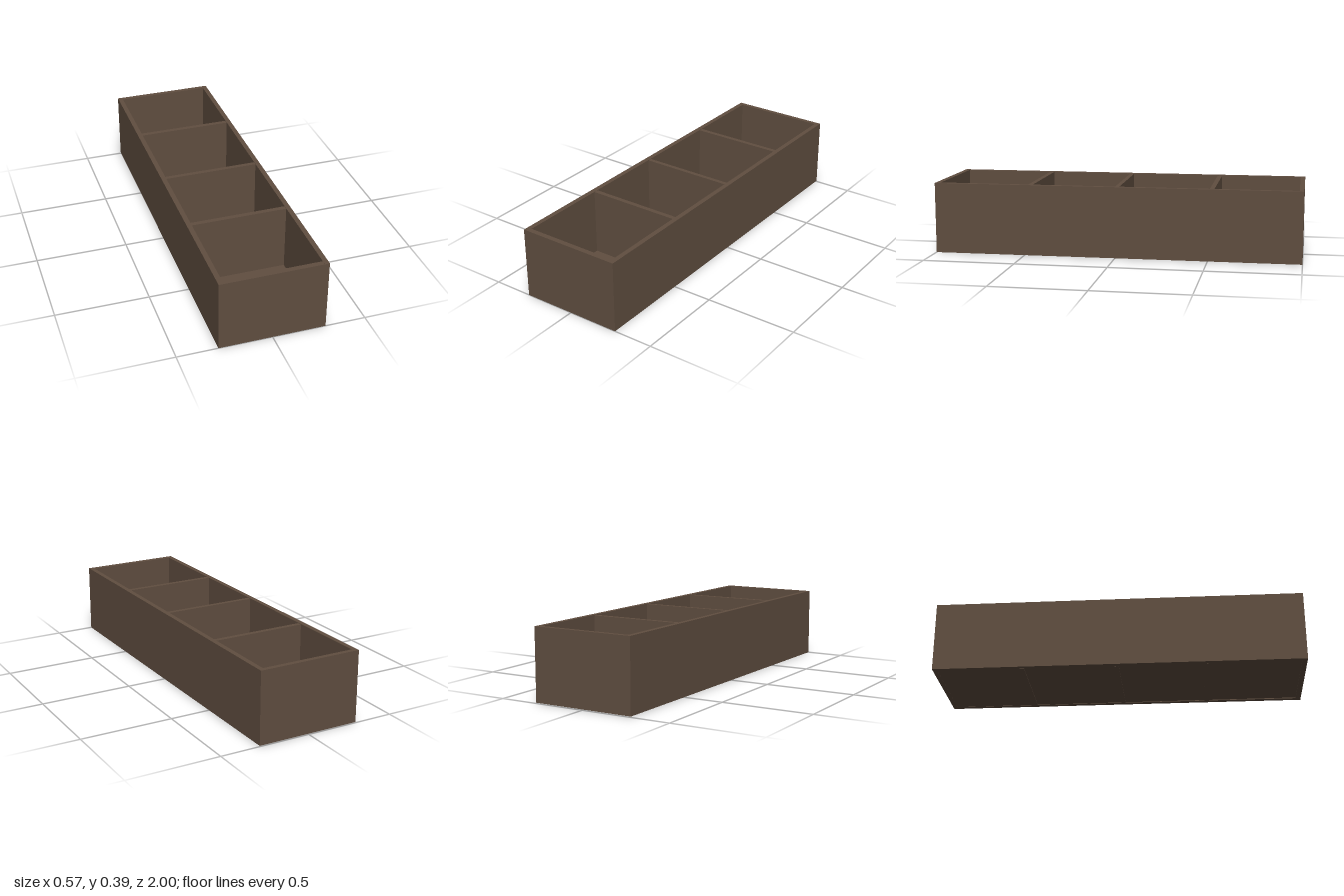
import * as THREE from 'three';

export function createModel() {
  const model = new THREE.Group();
  model.name = 'dividedTray';
  const wood = new THREE.MeshStandardMaterial({ color: 0x604e40 });
  wood.name = 'brown wood';

  const halfWidth = 0.284, wall = 0.026, inner = halfWidth - wall;
  const height = 0.387, rise = 0.004;

  // Board given by its x, y and z extents
  function board(name, [x0, x1], [y0, y1], [z0, z1]) {
    const geometry = new THREE.BoxGeometry(x1 - x0, y1 - y0, z1 - z0);
    geometry.translate((x0 + x1) / 2, (y0 + y1) / 2, (z0 + z1) / 2);
    const mesh = new THREE.Mesh(geometry, wood);
    mesh.name = name;
    model.add(mesh);
    return mesh;
  }

  // Long side walls, rising very slightly toward the back
  for (const [name, x] of [['leftWall', [inner, halfWidth]], ['rightWall', [-halfWidth, -inner]]]) {
    const geometry = board(name, x, [0, height], [-1, 1]).geometry;
    const p = geometry.attributes.position;
    for (let i = 0; i < p.count; i++) p.setY(i, p.getY(i) + rise * (1 - p.getZ(i)) / 2);
    geometry.computeVertexNormals();
  }

  // End walls
  board('frontWall', [-inner, inner], [0, height], [0.972, 1]);
  board('backWall', [-inner, inner], [rise, height + rise], [-1, -0.975]);

  // Dividers between the four compartments
  for (const z of [[0.455, 0.48], [-0.02, 0.003], [-0.53, -0.505]]) {
    board('divider', [-inner, inner], [0, height], z);
  }

  // Floor panel of each compartment, set just above the wall bottoms
  for (const z of [[0.48, 0.972], [0.003, 0.455], [-0.505, -0.02], [-0.975, -0.53]]) {
    board('floorPanel', [-inner, inner], [0.005, 0.025], z);
  }
  return model;
}
